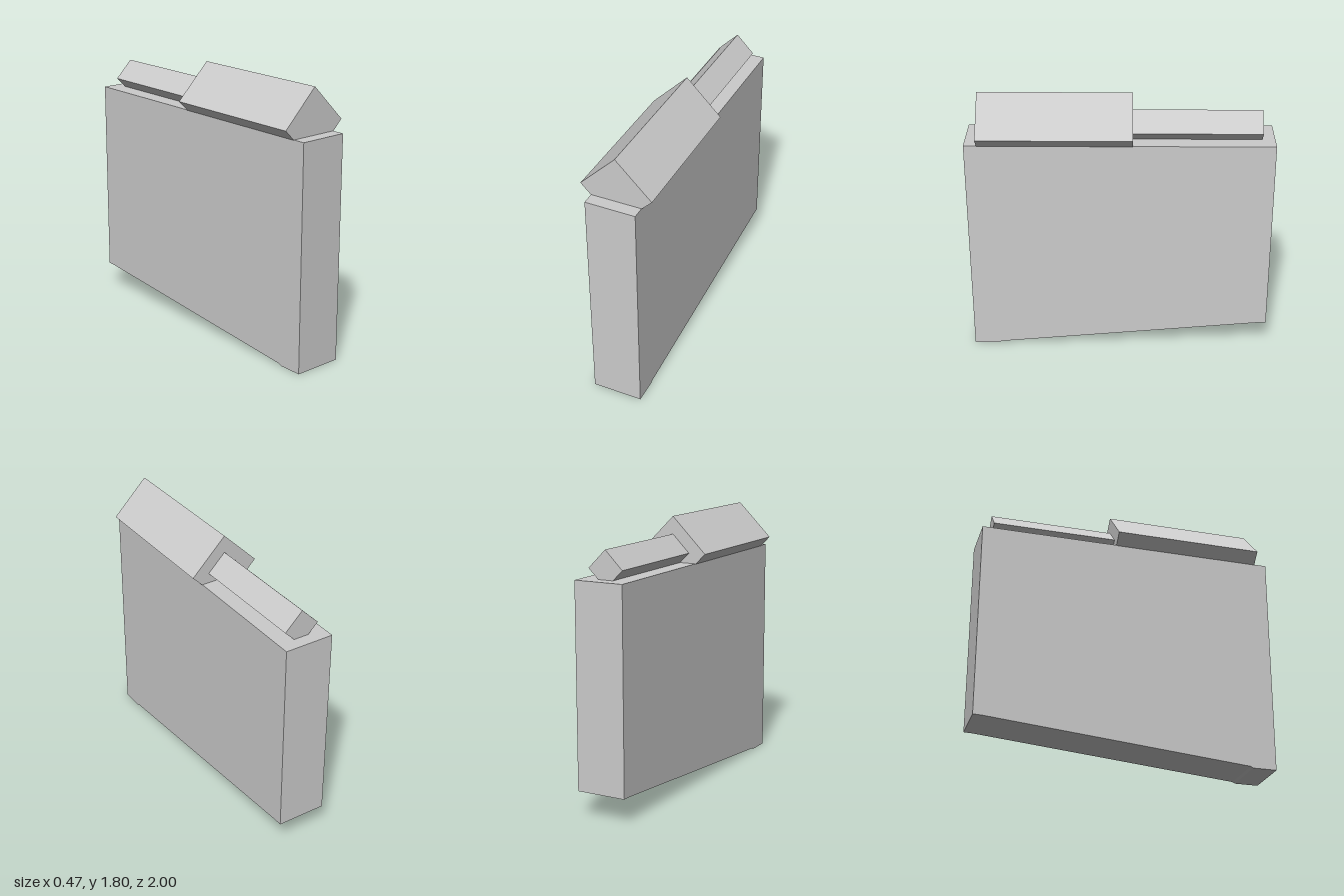
import * as THREE from 'three';

const material = new THREE.MeshStandardMaterial({ color: 0xcccccc, flatShading: true });

// Square bar set on edge, running along z
function ridgeBar(name, side, zFront, zBack) {
  const bar = new THREE.Mesh(new THREE.BoxGeometry(side, side, zFront - zBack), material);
  bar.name = name;
  bar.rotation.z = Math.PI / 4;
  bar.position.set(0, 1.566, (zFront + zBack) / 2);
  return bar;
}

export function createModel() {
  const model = new THREE.Group();
  model.name = 'model';

  // Wall slab: side profile (-z, y) with a sloping underside, extruded across x
  const width = 0.333;
  const profile = new THREE.Shape([
    [-1, 0], [-0.84, 0], [-0.82, 0.01], [0.94, 0.172], [1, 0.174], [1, 1.5], [-1, 1.5],
  ].map(([x, y]) => new THREE.Vector2(x, y)));
  const geometry = new THREE.ExtrudeGeometry(profile, { depth: width, bevelEnabled: false });
  geometry.translate(0, 0, -width / 2);
  geometry.rotateY(Math.PI / 2);
  const body = new THREE.Mesh(geometry, material);
  body.name = 'wallBody';
  model.add(body);

  // Large front ridge and smaller rear ridge, half sunk into the wall top
  model.add(ridgeBar('frontRidge', 0.3325, 0.917, -0.083));
  model.add(ridgeBar('rearRidge', 0.167, -0.083, -0.917));

  return model;
}
